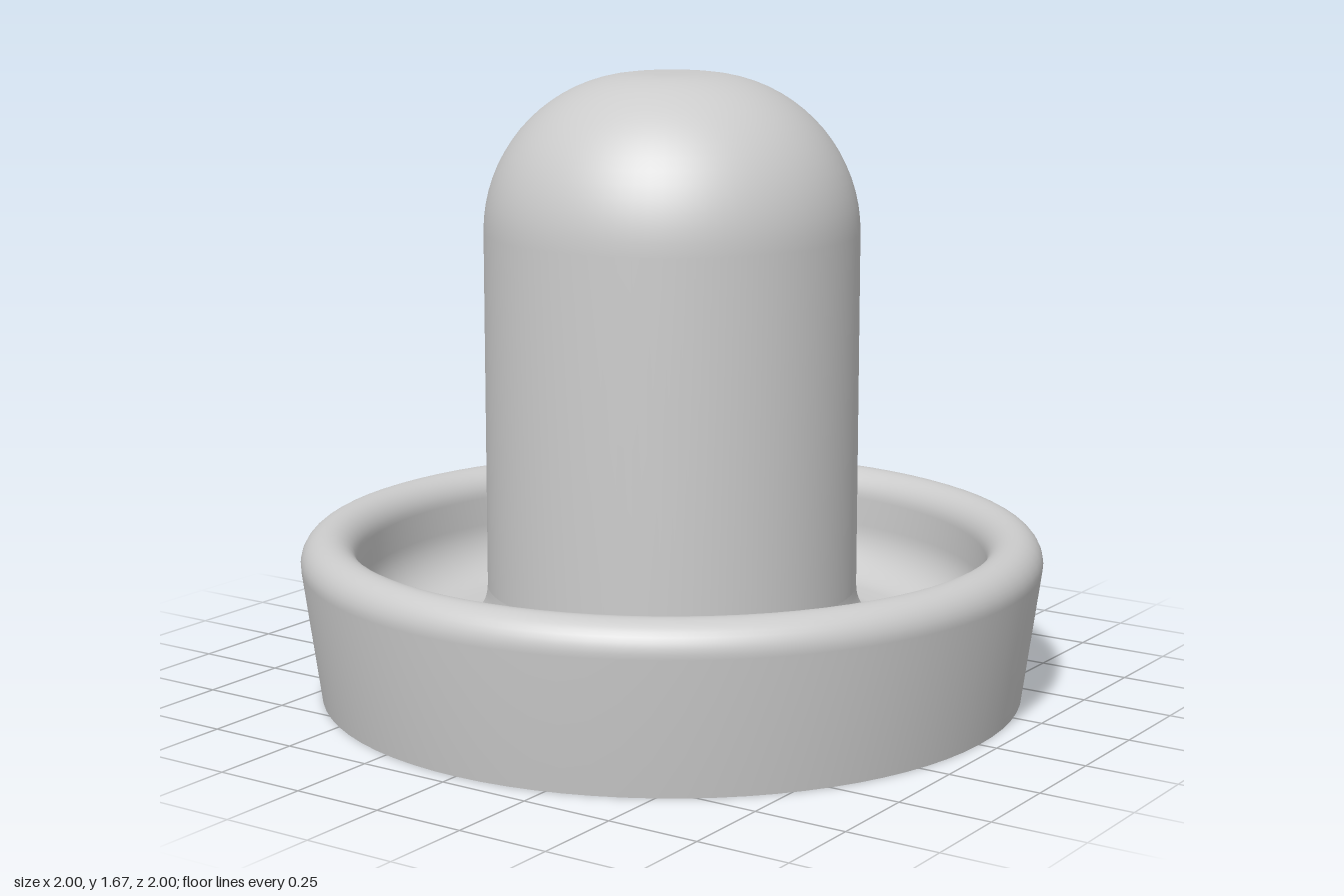
import * as THREE from 'three';
import { toCreasedNormals } from 'three/addons/utils/BufferGeometryUtils.js';

const SEGMENTS = 80;

// Points along a circular arc, angles in degrees
function arc(cx, cy, r, from, to, steps = 12) {
  const points = [];
  for (let i = 0; i <= steps; i++) {
    const a = THREE.MathUtils.degToRad(from + ((to - from) * i) / steps);
    points.push(new THREE.Vector2(cx + r * Math.cos(a), cy + r * Math.sin(a)));
  }
  return points;
}

function turned(name, profile) {
  const geometry = toCreasedNormals(new THREE.LatheGeometry(profile, SEGMENTS), Math.PI / 5);
  const mesh = new THREE.Mesh(geometry, new THREE.MeshStandardMaterial({ color: 0xcccccc }));
  mesh.name = name;
  return mesh;
}

export function createModel() {
  const group = new THREE.Group();
  group.name = 'strikerMallet';

  // Dished base: flat underside, flared wall, rounded rim, trough blending into the handle
  group.add(turned('base', [
    new THREE.Vector2(0, 0),
    new THREE.Vector2(0.95, 0),
    ...arc(0.925, 0.37, 0.075, -8, 180, 18),
    ...arc(0.71, 0.29, 0.14, 0, -90),
    ...arc(0.64, 0.29, 0.14, -90, -180),
  ]));

  // Upright handle with a domed top, slightly flat at the crown
  group.add(turned('handle', [
    new THREE.Vector2(0.5, 0.29),
    ...arc(0.08, 1.25, 0.42, 0, 90, 18),
    new THREE.Vector2(0, 1.67),
  ]));

  return group;
}
